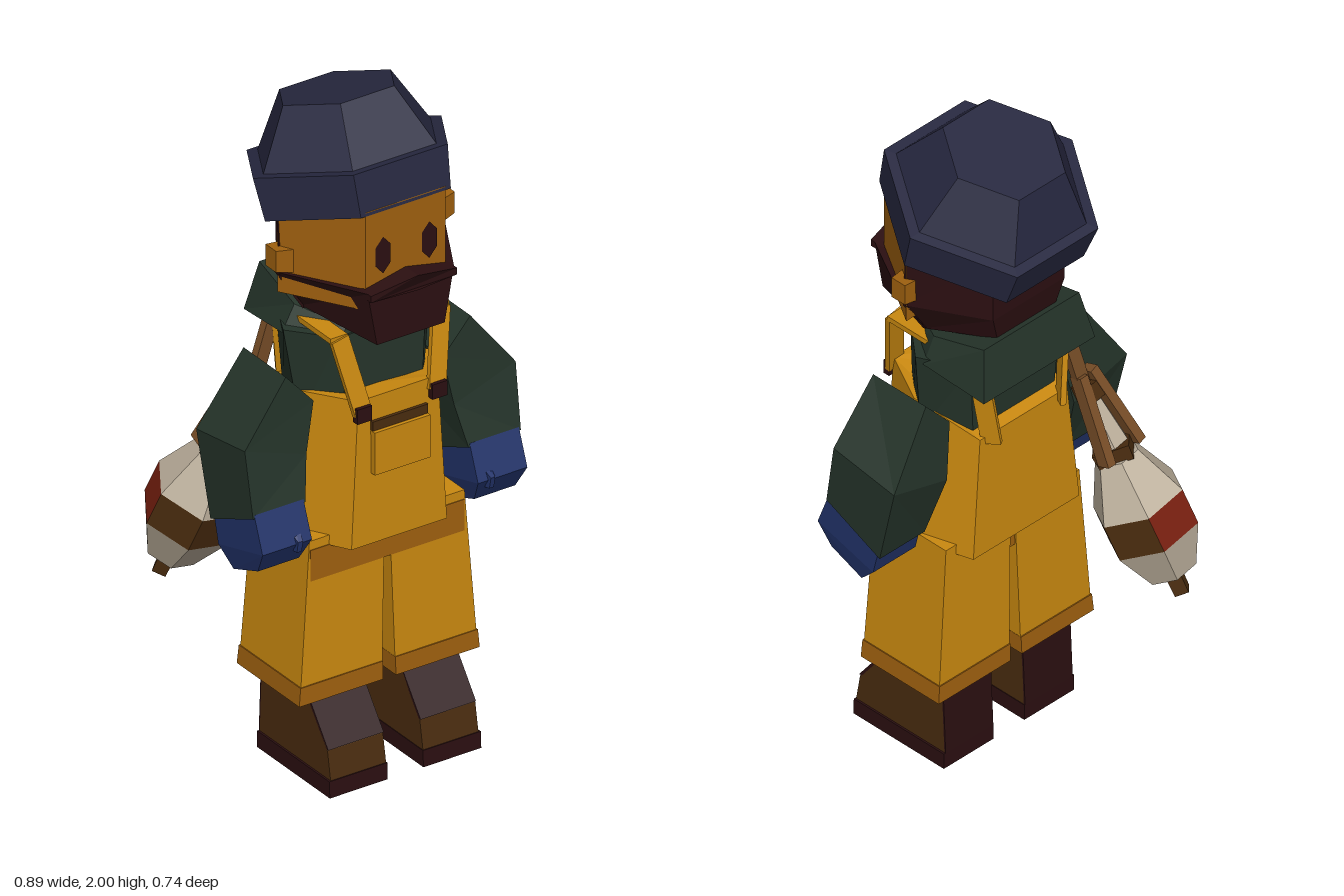
import * as THREE from 'three';

const paint = (name, color) => Object.assign(new THREE.MeshStandardMaterial({ color }), { name });
const M = {
  yellow: paint('workwear yellow', 0xca8910), amber: paint('amber skin', 0xa0610f),
  navy: paint('navy wool', 0x272840), green: paint('dark green', 0x25342a),
  blue: paint('glove blue', 0x22336a), dark: paint('dark hair', 0x2b0f11),
  brown: paint('boot brown', 0x4a2c0f), cream: paint('cream', 0xbdb09c),
  red: paint('faded red', 0x7a2010), rope: paint('rope tan', 0x7a4f28),
};
const V = (a) => new THREE.Vector3(...a);

// faceted mesh with hard edges
function add(parent, name, geo, mat) {
  const g = geo.index ? geo.toNonIndexed() : geo;
  g.computeVertexNormals();
  const m = new THREE.Mesh(g, mat);
  m.name = name;
  parent.add(m);
  return m;
}

// closed solid through rings of points; the winding is corrected by signed volume
function loft(rings) {
  const n = rings[0].length, tris = [], last = rings[rings.length - 1];
  for (let r = 0; r + 1 < rings.length; r++) {
    for (let i = 0; i < n; i++) {
      const j = (i + 1) % n, A = rings[r], B = rings[r + 1];
      tris.push([A[i], A[j], B[j]], [A[i], B[j], B[i]]);
    }
  }
  for (let i = 1; i + 1 < n; i++) {
    tris.push([rings[0][0], rings[0][i + 1], rings[0][i]], [last[0], last[i], last[i + 1]]);
  }
  let vol = 0;
  const o = V(rings[0][0]);
  for (const [a, b, c] of tris) vol += V(a).sub(o).dot(V(b).sub(o).cross(V(c).sub(o)));
  const pos = tris.flatMap(([a, b, c]) => (vol > 0 ? [a, b, c] : [a, c, b])).flat();
  const g = new THREE.BufferGeometry();
  g.setAttribute('position', new THREE.Float32BufferAttribute(pos, 3));
  return g;
}

// symmetric ring from its points on the +x side
const sym = (...p) => [...p, ...p.slice().reverse().map(([x, y, z]) => [-x, y, z])];
const mirror = (s, rings) => rings.map((r) => r.map(([x, y, z]) => [s * x, y, z]));
// four-corner ring: inner/outer x, front/back z, separate heights
const quad = (xi, xo, zf, zb, yfi, yfo = yfi, ybi = yfi, ybo = yfo) =>
  [[xi, yfi, zf], [xo, yfo, zf], [xo, ybo, zb], [xi, ybi, zb]];

function box(parent, name, mat, size, at) {
  const m = add(parent, name, new THREE.BoxGeometry(...size), mat);
  m.position.set(...at);
  return m;
}

// flat bar between two points
function bar(parent, name, mat, a, b, w, t) {
  const A = V(a), B = V(b), d = B.clone().sub(A);
  const m = add(parent, name, new THREE.BoxGeometry(w, d.length(), t), mat);
  m.position.copy(A).add(B).multiplyScalar(0.5);
  m.quaternion.setFromUnitVectors(new THREE.Vector3(0, 1, 0), d.normalize());
  return m;
}

function buildHead(root) {
  const head = new THREE.Group();
  head.name = 'head';
  root.add(head);
  const face = (y) => sym([0.13, y, 0.31], [0.265, y, 0.09]);
  add(head, 'face', loft([face(1.46), face(1.76)]), M.amber);
  add(head, 'hair', loft([
    sym([0.19, 1.39, 0.1], [0.11, 1.42, -0.1]),
    sym([0.267, 1.51, 0.1], [0.135, 1.5, -0.11]),
    sym([0.267, 1.74, 0.09], [0.135, 1.7, -0.11])]), M.dark);
  add(head, 'beard', loft([
    sym([0.11, 1.36, 0.335], [0.19, 1.395, 0.09]),
    sym([0.14, 1.525, 0.335], [0.275, 1.525, 0.09])]), M.dark);
  add(head, 'moustache', loft([
    [[-0.14, 1.505, 0.3], [0, 1.51, 0.3], [0.14, 1.505, 0.3], [0.14, 1.525, 0.3], [0, 1.555, 0.3], [-0.14, 1.525, 0.3]],
    [[-0.14, 1.505, 0.35], [0, 1.51, 0.37], [0.14, 1.505, 0.35], [0.14, 1.525, 0.35], [0, 1.555, 0.37], [-0.14, 1.525, 0.35]],
  ]), M.dark);
  for (const s of [1, -1]) {
    const eye = add(head, 'eye', new THREE.CircleGeometry(1, 6, Math.PI / 6), M.dark);
    eye.scale.set(0.028, 0.056, 1);
    eye.position.set(s * 0.075, 1.615, 0.313);
    add(head, 'ear', loft(mirror(s, [
      [[0.24, 1.53, 0.13], [0.24, 1.53, 0.07], [0.24, 1.6, 0.07], [0.24, 1.6, 0.13]],
      [[0.29, 1.54, 0.12], [0.29, 1.54, 0.07], [0.29, 1.605, 0.07], [0.29, 1.605, 0.12]]])), M.amber);
  }
  add(head, 'neck', new THREE.CylinderGeometry(0.1, 0.1, 0.14, 6), M.amber).position.set(0, 1.36, 0.1);
  // knitted hat, tipped backwards
  const profile = [[0, 0], [0.292, 0], [0.306, 0.125], [0.272, 0.127], [0.175, 0.292], [0, 0.292]];
  const hat = add(head, 'hat', new THREE.LatheGeometry(
    profile.map(([x, y]) => new THREE.Vector2(x, y)), 6, Math.PI / 2), M.navy);
  hat.position.set(0, 1.675, 0.07);
  hat.rotation.x = -0.298;
}

function buildBody(root) {
  add(root, 'jumper', loft([
    sym([0.12, 1.05, 0.21], [0.2, 1.05, 0.1], [0.15, 1.05, -0.05]),
    sym([0.14, 1.33, 0.2], [0.24, 1.33, 0.08], [0.17, 1.33, -0.06])]), M.green);
  add(root, 'collar', loft([
    sym([0.14, 1.31, 0.2], [0.23, 1.31, 0.06], [0.21, 1.28, -0.15]),
    sym([0.11, 1.35, 0.19], [0.19, 1.385, 0.06], [0.18, 1.43, -0.12])]), M.green);
  add(root, 'overallsBib', loft([
    sym([0.155, 0.72, 0.28], [0.26, 0.72, 0.1], [0.2, 0.72, -0.1]),
    sym([0.13, 1.165, 0.275], [0.205, 1.15, 0.12], [0.165, 1.1, -0.09])]), M.yellow);
  box(root, 'pocket', M.yellow, [0.18, 0.13, 0.02], [0, 1.0, 0.286]);
  box(root, 'pocketTrim', M.brown, [0.18, 0.028, 0.01], [0, 1.08, 0.281]);
  box(root, 'crotch', M.amber, [0.5, 0.095, 0.27], [0, 0.675, 0.09]);
  for (const s of [1, -1]) {
    const path = [[0.12, 1.13, 0.28], [0.165, 1.35, 0.235], [0.165, 1.35, -0.08], [0.13, 1.08, -0.1]]
      .map(([x, y, z]) => [s * x, y, z]);
    for (let i = 0; i < 3; i++) bar(root, 'shoulderStrap', M.yellow, path[i], path[i + 1], 0.055, 0.016);
    box(root, 'strapButton', M.dark, [0.048, 0.045, 0.02], [s * 0.122, 1.13, 0.285]);
  }
}

function buildLimbs(root, s) {
  const make = (name, rings, mat) => add(root, name, loft(mirror(s, rings)), mat);
  // trouser leg and hem
  make('trouserLeg', [quad(0.021, 0.286, 0.23, -0.057, 0.3), quad(0.008, 0.252, 0.222, -0.048, 0.75)], M.yellow);
  make('trouserHem', [quad(0.021, 0.293, 0.234, -0.062, 0.26), quad(0.02, 0.288, 0.233, -0.06, 0.315)], M.amber);
  // boot: brown sides and toe, dark sloping front, heel and sole
  const side = [[-0.03, 0.05], [0.305, 0.05], [0.29, 0.135], [0.19, 0.27], [-0.02, 0.27]];
  make('boot', [0.06, 0.24].map((x) => side.map(([z, y]) => [x, y, z])), M.brown);
  make('sole', [quad(0.058, 0.246, 0.31, -0.034, 0), quad(0.058, 0.246, 0.308, -0.034, 0.05)], M.dark);
  make('bootTongue', [quad(0.06, 0.24, 0.294, 0.284, 0.138), quad(0.06, 0.24, 0.195, 0.185, 0.27)], M.dark);
  make('bootHeel', [quad(0.06, 0.24, -0.029, -0.035, 0.05), quad(0.06, 0.24, -0.019, -0.025, 0.27)], M.dark);
  // sleeve, glove and thumb
  make('sleeve', [
    quad(0.21, 0.3, 0.18, -0.02, 1.15, 1.25),
    quad(0.24, 0.44, 0.19, -0.04, 1.0, 1.07, 0.98, 1.035),
    quad(0.265, 0.435, 0.222, 0.02, 0.875, 0.875, 0.785, 0.785)], M.green);
  make('glove', [
    quad(0.27, 0.43, 0.22, 0.03, 0.885, 0.885, 0.8, 0.8),
    quad(0.27, 0.43, 0.26, 0.05, 0.78, 0.78, 0.72, 0.72),
    quad(0.285, 0.418, 0.22, 0.105, 0.71, 0.71, 0.665, 0.665)], M.blue);
  make('thumb', [
    [[0.29, 0.84, 0.2], [0.33, 0.83, 0.2], [0.33, 0.76, 0.2], [0.29, 0.75, 0.2]],
    [[0.305, 0.79, 0.27], [0.32, 0.79, 0.268], [0.32, 0.755, 0.262], [0.305, 0.755, 0.262]]], M.blue);
}

// float hanging on the back, built along its own axis
function buildFloat(root) {
  const g = new THREE.Group();
  g.name = 'hangingFloat';
  g.position.set(-0.355, 0.44, -0.335);
  g.quaternion.setFromUnitVectors(new THREE.Vector3(0, 1, 0), new THREE.Vector3(0.2, 1, 0.39).normalize());
  root.add(g);
  const P = Math.PI;
  const seg = (name, mat, y0, y1, r0, r1, n = 6, open = false, from = P / 2, len = 2 * P) => {
    const sides = Math.round(n * len / (2 * P));
    add(g, name, new THREE.CylinderGeometry(r1, r0, y1 - y0, sides, 1, open, from, len), mat)
      .position.y = (y0 + y1) / 2;
  };
  seg('floatStick', M.brown, 0, 0.09, 0.028, 0.03, 4);
  seg('floatBottom', M.cream, 0.075, 0.2, 0.075, 0.135);
  seg('floatBandRed', M.red, 0.2, 0.31, 0.135, 0.135, 6, true, P * 5 / 6, P * 2 / 3);
  seg('floatBandBrown', M.brown, 0.2, 0.31, 0.135, 0.135, 6, true, P * 3 / 2, P * 4 / 3);
  seg('floatTop', M.cream, 0.31, 0.46, 0.135, 0.065);
  seg('floatRing', M.brown, 0.455, 0.5, 0.07, 0.075, 4);
  seg('floatNeck', M.cream, 0.5, 0.64, 0.05, 0.03);
  for (const s of [1, -1]) {
    bar(g, 'ropeStrand', M.rope, [s * 0.06, 0.47, -0.03], [s * 0.02, 0.74, -0.03], 0.028, 0.045);
  }
  box(g, 'ropeKnot', M.brown, [0.07, 0.05, 0.06], [0, 0.68, -0.02]);
  bar(root, 'ropeHanger', M.rope, [-0.215, 1.08, -0.1], [-0.17, 1.27, -0.08], 0.04, 0.025);
}

export function createModel() {
  const root = new THREE.Group();
  root.name = 'fisherman';
  buildHead(root);
  buildBody(root);
  for (const s of [1, -1]) buildLimbs(root, s);
  buildFloat(root);
  return root;
}
